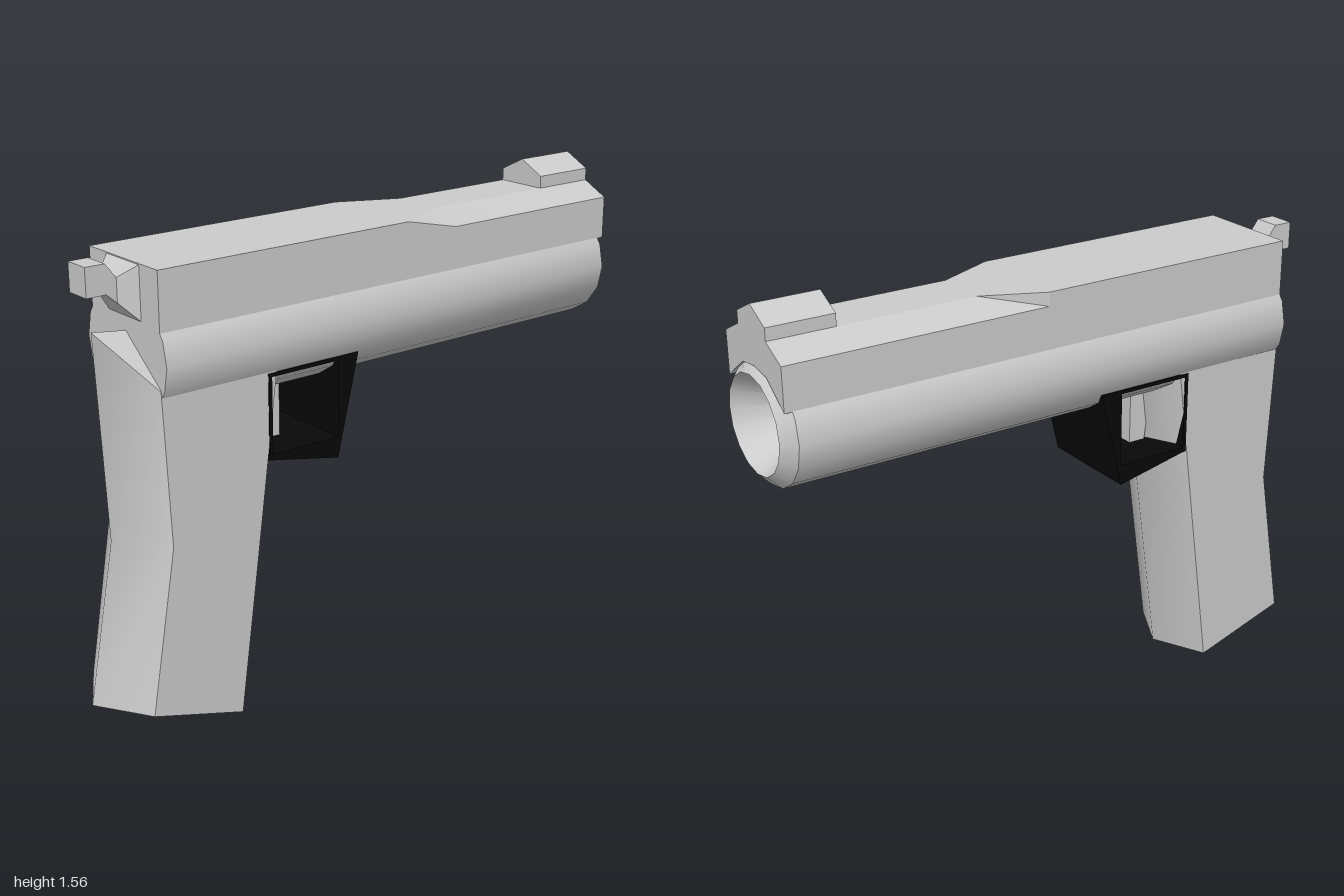
import * as THREE from 'three';
import { toCreasedNormals } from 'three/addons/utils/BufferGeometryUtils.js';

const grey = new THREE.MeshStandardMaterial({ color: 0xcccccc });
const black = new THREE.MeshStandardMaterial({ color: 0x080808 });

// Skin through a list of cross-sections (each a list of [x, y, z])
function strip(sections, closed = false) {
  const n = sections[0].length, index = [];
  for (let i = 0; i < sections.length - 1; i++) {
    for (let j = 0; j < (closed ? n : n - 1); j++) {
      const a = i * n + j, d = i * n + (j + 1) % n;
      index.push(a, a + n, d, a + n, d + n, d);
    }
  }
  const geo = new THREE.BufferGeometry();
  geo.setAttribute('position', new THREE.Float32BufferAttribute(sections.flat(2), 3));
  geo.setIndex(index);
  geo.computeVertexNormals();
  return geo;
}

// Fan that closes one end of a skin
function cap(ring, centre, end) {
  const pos = [];
  ring.forEach((p, j) => {
    const q = ring[(j + 1) % ring.length];
    pos.push(...centre, ...(end ? q : p), ...(end ? p : q));
  });
  const geo = new THREE.BufferGeometry();
  geo.setAttribute('position', new THREE.Float32BufferAttribute(pos, 3));
  geo.computeVertexNormals();
  return geo;
}

function extrude(shape, depth) {
  return new THREE.ExtrudeGeometry(shape, { depth, bevelEnabled: false }).translate(0, 0, -depth / 2);
}

const outline = (pts) => new THREE.Shape(pts.map(([x, y]) => new THREE.Vector2(x, y)));

export function createModel() {
  const model = new THREE.Group();
  const add = (name, geo, material = grey, parent = model) => {
    const mesh = new THREE.Mesh(geo, material);
    mesh.name = name;
    parent.add(mesh);
    return mesh;
  };
  const part = (name) => {
    const group = new THREE.Group();
    group.name = name;
    model.add(group);
    return group;
  };

  // Barrel with chamfered muzzle and conical bore
  const profile = [[0, -0.82], [0.21, -0.82], [0.21, 0.96], [0.165, 1], [0, 0.7]]
    .map(([r, x]) => new THREE.Vector2(r, x));
  const barrel = new THREE.LatheGeometry(profile, 16).rotateZ(-Math.PI / 2).scale(1, 0.935, 1);
  add('barrel', toCreasedNormals(barrel, 0.5).translate(0, 1.197, 0));

  // Slide: square behind, chamfered top edges in front, arched over the barrel
  const slideRing = (x, topZ) => {
    const half = [[0.075, 1.365], [0.14, 1.32], [0.18, 1.29], [0.18, 1.43], [topZ, 1.475]];
    return [
      [x, 1.375, 0],
      ...half.map(([z, y]) => [x, y, z]),
      ...half.slice().reverse().map(([z, y]) => [x, y, -z]),
    ];
  };
  const slideRings = [slideRing(-0.82, 0.18), slideRing(0.1, 0.18), slideRing(0.3, 0.09), slideRing(0.985, 0.09)];
  const slide = part('slide');
  add('slideBody', toCreasedNormals(strip(slideRings, true), 0.35), grey, slide);
  add('slideBack', cap(slideRings[0], [-0.82, 1.47, 0], false), grey, slide);
  add('slideFront', cap(slideRings[3], [0.985, 1.47, 0], true), grey, slide);

  // Front sight with peaked top
  const sight = extrude(outline([[-0.09, 1.46], [0.09, 1.46], [0.09, 1.515], [0, 1.56], [-0.09, 1.515]]), 0.22);
  add('frontSight', sight.rotateY(Math.PI / 2).translate(0.875, 0, 0));

  // Hammer: small block on a stem that flares into the slide
  const hammerRings = [
    [-0.97, 1.39, 1.48, 0.045], [-0.905, 1.39, 1.48, 0.045],
    [-0.87, 1.36, 1.435, 0.045], [-0.815, 1.3, 1.475, 0.09],
  ].map(([x, lo, hi, z]) => [[x, lo, z], [x, hi, z], [x, hi, -z], [x, lo, -z]]);
  const hammer = part('hammer');
  add('hammerBody', toCreasedNormals(strip(hammerRings, true), 0.1), grey, hammer);
  add('hammerBack', cap(hammerRings[0], [-0.97, 1.435, 0], false), grey, hammer);

  // Grip: six-sided sections from foot to top, ridged at back and front
  const gripRing = ([rx, ry], [bx, by], [fx, fy], [nx, ny]) => [
    [bx, by, 0.178], [rx, ry, 0], [bx, by, -0.178],
    [fx, fy, -0.178], [nx, ny, 0], [fx, fy, 0.178],
  ];
  const gripRings = [
    gripRing([-1, 0.1], [-0.89, 0.1], [-0.565, 0], [-0.475, 0]),
    gripRing([-0.905, 0.62], [-0.8, 0.63], [-0.477, 0.63], [-0.387, 0.63]),
    gripRing([-0.935, 1.275], [-0.822, 1.12], [-0.41, 1.12], [-0.32, 1.12]),
  ];
  const grip = part('grip');
  const faces = { gripBack: [0, 1, 2], gripRight: [2, 3], gripFront: [3, 4, 5], gripLeft: [5, 0] };
  for (const [name, ids] of Object.entries(faces)) {
    add(name, strip(gripRings.map((ring) => ids.map((i) => ring[i]))), grey, grip);
  }
  add('gripFoot', cap(gripRings[0], [-0.72, 0.05, 0], false), grey, grip);
  add('gripTop', cap(gripRings[2], [-0.815, 1.26, 0], true), grey, grip);

  // Trigger guard with square opening
  const guard = outline([[-0.445, 0.82], [-0.18, 0.765], [-0.1, 1.095], [-0.445, 1.095]]);
  guard.holes.push(outline([[-0.432, 0.835], [-0.432, 1.083], [-0.178, 1.083], [-0.178, 0.835]]));
  add('triggerGuard', extrude(guard, 0.36), black);

  // Trigger
  const trigger = outline([[-0.37, 0.835], [-0.31, 0.835], [-0.31, 1.02], [-0.4, 1.06]]);
  add('trigger', extrude(trigger, 0.1));

  return model;
}
